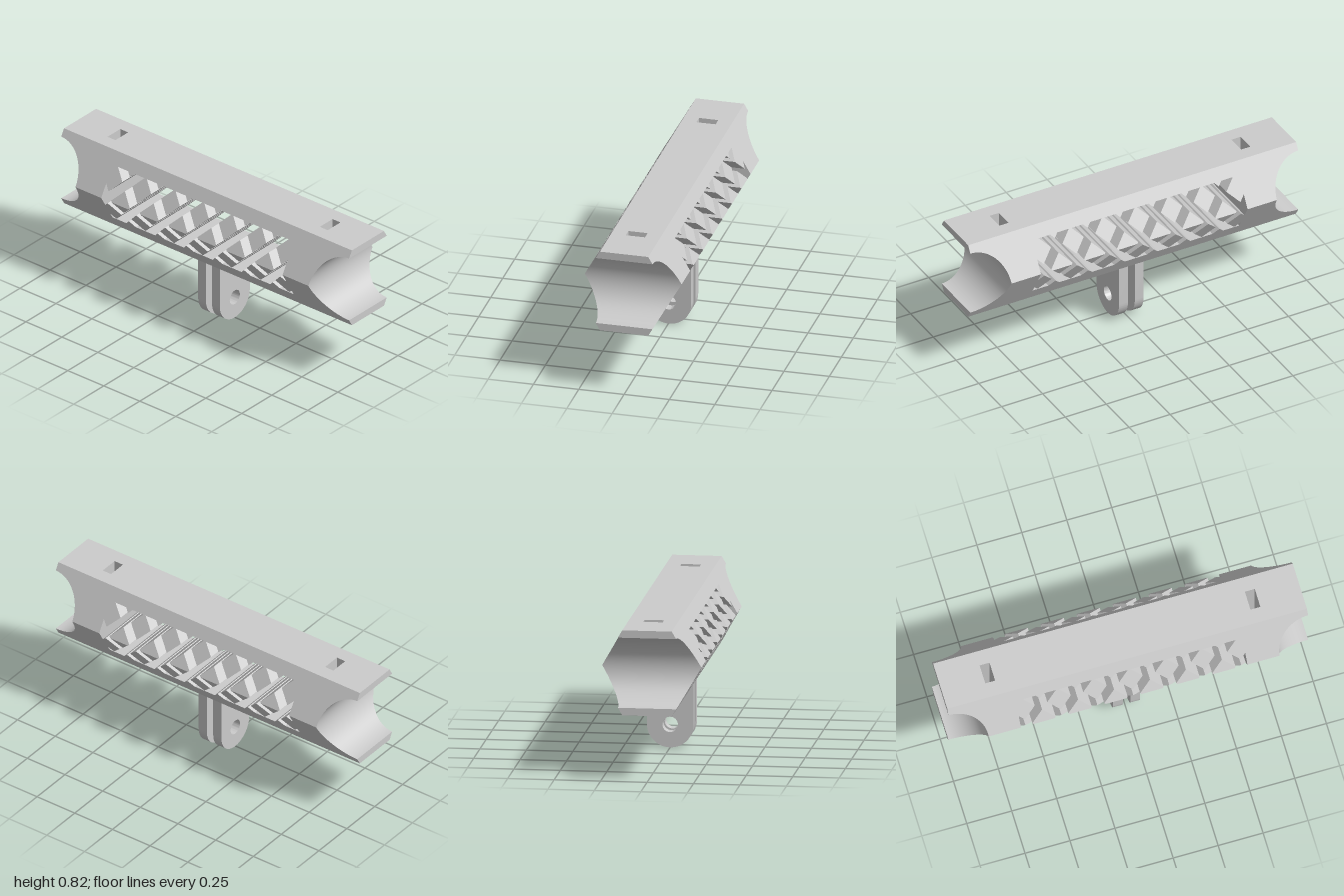
import * as THREE from 'three';
import { mergeGeometries, toCreasedNormals } from 'three/addons/utils/BufferGeometryUtils.js';

const MID = 0.593, HALF = 0.2315, R = 0.267;      // hexagonal bar, axis along x
const SCOOP = 0.191;                               // radius of the end scoops
const SLOT_IN = 0.71, SLOT_OUT = 0.765, SLOT_Z = 0.053;
const WIN_X = 0.63, WIN_TOP = 0.757, WIN_BOTTOM = 0.432;
const H = 0.035, D = 0.1 - H;                      // half cut width, half bar diagonal
const NECK = 0.7 + D - WIN_TOP;                    // half width where top bars meet the frame
const ODD = [-0.5, -0.3, -0.1, 0.1, 0.3, 0.5], EVEN = [-0.4, -0.2, 0, 0.2, 0.4];

const halfWidth = (y) => R - Math.abs(y - MID) / Math.sqrt(3);
const mirrorX = (pts) => pts.map(([x, y]) => [-x, y]);

// Extrudes an x-y outline between the sloping hexagon sides, leaving out inner seams
function prism(pts, side = 0) {
  const shape = new THREE.Shape(pts.map(([x, y]) => new THREE.Vector2(x, y)));
  let g = new THREE.ExtrudeGeometry(shape, { depth: 1, bevelEnabled: false });
  if (g.index) g = g.toNonIndexed();
  const p = g.attributes.position, kept = [];
  const at = (v, c) => Math.abs(v - c) < 1e-5;
  const cuts = [-SLOT_OUT, -SLOT_IN, SLOT_IN, SLOT_OUT];
  for (let i = 0; i < p.count; i += 3) {
    const t = [0, 1, 2].map((k) => [p.getX(i + k), p.getY(i + k), p.getZ(i + k)]);
    const seam = t.every((v) => at(v[1], MID)) || cuts.some((c) => t.every((v) => at(v[0], c)));
    if (seam) continue;
    for (const [x, y, z] of t) {
      const w = halfWidth(y);
      const front = side < 0 ? -SLOT_Z : w, back = side > 0 ? SLOT_Z : -w;
      kept.push(x, y, z > 0.5 ? front : back);
    }
  }
  const out = new THREE.BufferGeometry();
  out.setAttribute('position', new THREE.Float32BufferAttribute(kept, 3));
  return out;
}

function merged(parts) {
  const g = mergeGeometries(parts);
  g.computeVertexNormals();
  return toCreasedNormals(g, 0.4);
}

function createBody() {
  const parts = [];
  const leftTop = [[-WIN_X, MID], [-WIN_X, WIN_X + H], [-0.6, 0.6 + H],
    [-0.5 - H, 0.7], [-0.6 + NECK, WIN_TOP]];
  const leftBottom = [[-WIN_X, MID], [-WIN_X, 0.57 - H], [-0.6, 0.6 - H], [-0.5 - H, 0.5],
    [-0.6, 0.4 + H], [-WIN_X, 0.43 + H], [-WIN_X, WIN_BOTTOM]];
  // Teeth of the window edge between the crossing cuts
  const teeth = (base, tip) => ODD.flatMap((x) => {
    const w = Math.abs(tip - base);
    return [[x - w, base], [x, tip], [x + w, base]];
  });

  for (const s of [1, -1]) {
    const edge = MID + s * HALF;
    const left = s > 0 ? leftTop : leftBottom;
    const row = s > 0 ? teeth(WIN_TOP, 0.7 + H) : teeth(WIN_BOTTOM, 0.5 - H);
    // Middle section around the lattice window
    parts.push(prism([[-SLOT_IN, MID], ...left, ...row, ...mirrorX(left).reverse(),
      [SLOT_IN, MID], [SLOT_IN, edge], [-SLOT_IN, edge]]));

    // Scooped end section
    const end = [[SLOT_OUT, MID]];
    for (let i = 0; i <= 24; i++) {
      const a = (i / 24) * Math.PI / 2;
      end.push([1 - SCOOP * Math.cos(a), MID + s * SCOOP * Math.sin(a)]);
    }
    end.push([1, edge], [SLOT_OUT, edge]);
    // Pieces in front of and behind each slot
    const strip = [[SLOT_IN, MID], [SLOT_OUT, MID], [SLOT_OUT, edge], [SLOT_IN, edge]];
    for (const f of [(p) => p, mirrorX]) {
      parts.push(prism(f(end)), prism(f(strip), 1), prism(f(strip), -1));
    }
  }
  return merged(parts);
}

// Diamond bars left standing between the crossing cuts
function createLattice() {
  const parts = [];
  for (const x of EVEN) {
    parts.push(prism([[x - D, 0.7], [x, 0.7 - D], [x + D, 0.7], [x + NECK, WIN_TOP], [x - NECK, WIN_TOP]]));
    parts.push(prism([[x - D, 0.5], [x, 0.5 - D], [x + D, 0.5], [x, 0.5 + D]]));
  }
  const w = D - (0.6 - MID);
  for (const x of ODD) {
    parts.push(prism([[x - w, MID], [x + w, MID], [x + D, 0.6], [x, 0.6 + D], [x - D, 0.6]]));
    parts.push(prism([[x - w, MID], [x, 0.6 - D], [x + w, MID]]));
  }
  return merged(parts);
}

// Rounded mounting plate with a bolt hole
function createLug() {
  const r = 0.125, top = MID - HALF;
  const s = new THREE.Shape();
  s.moveTo(r, top);
  s.lineTo(-r, top);
  s.lineTo(-r, r);
  s.absarc(0, r, r, Math.PI, 2 * Math.PI, false);
  s.closePath();
  const hole = new THREE.Path();
  hole.absarc(0, r, 0.042, 0, 2 * Math.PI, true);
  s.holes.push(hole);
  const g = new THREE.ExtrudeGeometry(s, { depth: 0.054, bevelEnabled: false, curveSegments: 32 });
  return toCreasedNormals(g.rotateY(Math.PI / 2), 0.5);
}

export function createModel() {
  const group = new THREE.Group();
  const material = new THREE.MeshStandardMaterial({ color: 0xcccccc });
  const doubleSided = new THREE.MeshStandardMaterial({ color: 0xcccccc, side: THREE.DoubleSide });
  const add = (name, geometry, mat = material) => {
    const mesh = new THREE.Mesh(geometry, mat);
    mesh.name = name;
    group.add(mesh);
    return mesh;
  };

  add('hexagonalBody', createBody());
  add('latticeBars', createLattice());

  // Side walls of the two vertical slots
  for (const x of [-SLOT_OUT, -SLOT_IN, SLOT_IN, SLOT_OUT]) {
    const wall = add('slotWall', new THREE.PlaneGeometry(2 * SLOT_Z, 2 * HALF), doubleSided);
    wall.rotation.y = Math.PI / 2;
    wall.position.set(x, MID, 0);
  }

  // Pair of mounting lugs underneath
  const lug = createLug();
  add('rightLug', lug).position.x = -0.075;
  add('leftLug', lug).position.x = 0.021;
  return group;
}
